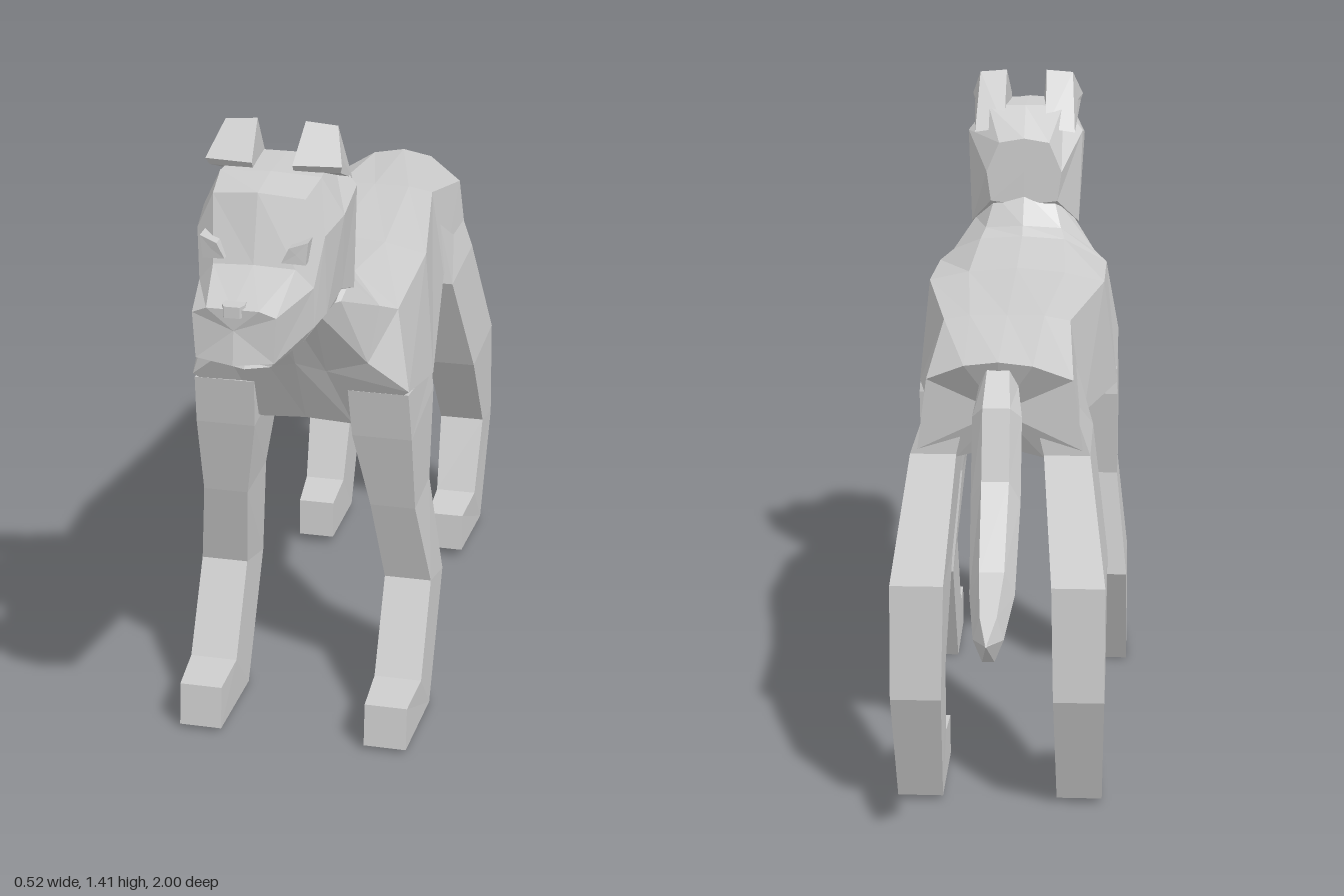
import * as THREE from 'three';

// Closed faceted skin through rings of equal point count; ends are capped.
function loft(rings) {
  const tris = [], n = rings[0].length;
  const centre = r => [0, 1, 2].map(k => r.reduce((s, p) => s + p[k], 0) / n);
  for (let i = 0; i < rings.length - 1; i++) {
    for (let j = 0; j < n; j++) {
      const k = (j + 1) % n, a = rings[i], b = rings[i + 1];
      tris.push([a[j], a[k], b[k]], [a[j], b[k], b[j]]);
    }
  }
  const first = rings[0], last = rings[rings.length - 1];
  const c0 = centre(first), c1 = centre(last);
  for (let j = 0; j < n; j++) {
    const k = (j + 1) % n;
    tris.push([c0, first[k], first[j]], [c1, last[j], last[k]]);
  }
  // Turn the faces outwards if the rings ran the other way round.
  let volume = 0;
  for (const [a, b, c] of tris) {
    volume += new THREE.Vector3(...a).dot(new THREE.Vector3(...b).cross(new THREE.Vector3(...c)));
  }
  if (volume < 0) tris.forEach(t => t.reverse());
  const g = new THREE.BufferGeometry();
  g.setAttribute('position', new THREE.Float32BufferAttribute(tris.flat(2), 3));
  g.computeVertexNormals();
  return g;
}

// Completes a half ring (first and last points on the centre line).
const mirrorRing = half =>
  half.concat(half.slice(1, -1).reverse().map(([x, y, z]) => [-x, y, z]));

// Leg section: inner x, outer x, front [y, z], back [y, z].
const legRing = ([xi, xo, [fy, fz], [by, bz]]) =>
  [[xo, fy, fz], [xi, fy, fz], [xi, by, bz], [xo, by, bz]];

export function createModel() {
  const model = new THREE.Group();
  const grey = new THREE.MeshStandardMaterial({ color: 0xcccccc });
  grey.name = 'coat grey';

  const add = (name, rings) => {
    const mesh = new THREE.Mesh(loft(rings), grey);
    mesh.name = name;
    model.add(mesh);
  };
  const addPair = (name, rings) => {
    add('left' + name, rings);
    add('right' + name, rings.map(r => r.map(([x, y, z]) => [-x, y, z])));
  };

  // Torso from rump to neck
  add('body', [
    [[0, 0.96, -0.6], [0.07, 0.95, -0.59], [0.15, 0.91, -0.54], [0.17, 0.76, -0.53], [0.09, 0.74, -0.51], [0, 0.76, -0.5]],
    [[0, 0.985, -0.26], [0.08, 0.985, -0.26], [0.135, 0.975, -0.26], [0.165, 0.775, -0.26], [0.1, 0.74, -0.26], [0, 0.735, -0.26]],
    [[0, 1.01, 0.15], [0.11, 1.0, 0.15], [0.2, 0.98, 0.15], [0.23, 0.73, 0.21], [0.1, 0.7, 0.21], [0, 0.7, 0.21]],
    [[0, 1.04, 0.39], [0.1, 1.03, 0.41], [0.2, 0.97, 0.45], [0.23, 0.8, 0.48], [0.1, 0.69, 0.42], [0, 0.7, 0.43]],
    [[0, 1.06, 0.42], [0.09, 1.05, 0.45], [0.17, 0.99, 0.49], [0.15, 0.87, 0.51], [0.06, 0.84, 0.5], [0, 0.86, 0.52]],
    [[0, 1.13, 0.49], [0.07, 1.12, 0.5], [0.12, 1.06, 0.54], [0.11, 1.03, 0.58], [0.06, 1.02, 0.61], [0, 1.02, 0.61]],
  ].map(mirrorRing));

  // Skull and upper muzzle
  add('head', [
    [[0, 1.26, 0.48], [0.06, 1.25, 0.48], [0.09, 1.18, 0.48], [0.08, 1.11, 0.48], [0, 1.1, 0.48]],
    [[0, 1.33, 0.56], [0.09, 1.33, 0.56], [0.138, 1.27, 0.56], [0.13, 1.05, 0.55], [0, 1.03, 0.56]],
    [[0, 1.335, 0.7], [0.1, 1.33, 0.7], [0.14, 1.25, 0.68], [0.13, 1.09, 0.66], [0, 1.06, 0.66]],
    [[0, 1.325, 0.8], [0.09, 1.315, 0.79], [0.125, 1.24, 0.78], [0.125, 1.08, 0.77], [0, 1.07, 0.77]],
    [[0, 1.195, 0.84], [0.08, 1.19, 0.835], [0.112, 1.15, 0.82], [0.112, 1.07, 0.82], [0, 1.06, 0.82]],
    [[0, 1.165, 0.995], [0.05, 1.165, 0.995], [0.08, 1.15, 0.985], [0.075, 1.06, 0.985], [0, 1.055, 1.0]],
  ].map(mirrorRing));

  // Lower jaw, leaving a narrow mouth gap
  add('jaw', [
    [[0, 1.09, 0.58], [0.12, 1.09, 0.58], [0.1, 1.03, 0.58], [0, 1.02, 0.58]],
    [[0, 1.06, 0.78], [0.105, 1.06, 0.78], [0.08, 1.02, 0.78], [0, 1.015, 0.78]],
    [[0, 1.035, 0.92], [0.06, 1.04, 0.91], [0.05, 1.02, 0.91], [0, 1.015, 0.92]],
  ].map(mirrorRing));

  // Folded ears: raised back and forward flap
  addPair('Ear', [
    [[0.048, 1.41, 0.61], [0.04, 1.345, 0.69], [0.04, 1.33, 0.68], [0.05, 1.28, 0.52]],
    [[0.112, 1.405, 0.61], [0.135, 1.345, 0.68], [0.13, 1.33, 0.67], [0.12, 1.27, 0.52]],
  ]);

  // Eyes and nose
  const eyeRing = (y, z) => [[0.055, y - 0.015, z], [0.07, y + 0.015, z], [0.105, y + 0.025, z - 0.01], [0.1, y - 0.02, z - 0.01]];
  addPair('Eye', [eyeRing(1.22, 0.79), eyeRing(1.22, 0.845)]);
  add('nose', [[0.02, 0.97], [0.022, 0.985], [0.015, 1.0]].map(([w, z]) =>
    [[-w, 1.15, z], [w, 1.15, z], [w, 1.172, z], [-w, 1.172, z]]));

  // Legs, hip or shoulder down to toes
  addPair('FrontLeg', [
    [0.1, 0.228, [0.79, 0.475], [0.75, 0.22]],
    [0.105, 0.232, [0.68, 0.455], [0.7, 0.215]],
    [0.135, 0.232, [0.5, 0.41], [0.5, 0.25]],
    [0.155, 0.257, [0.3, 0.35], [0.26, 0.21]],
    [0.155, 0.258, [0.11, 0.455], [0, 0.355]],
    [0.158, 0.25, [0.105, 0.57], [0.01, 0.58]],
  ].map(legRing));
  addPair('HindLeg', [
    [0.06, 0.14, [0.92, -0.3], [0.88, -0.53]],
    [0.09, 0.185, [0.75, -0.265], [0.75, -0.53]],
    [0.11, 0.22, [0.5, -0.38], [0.5, -0.64]],
    [0.115, 0.22, [0.29, -0.53], [0.26, -0.655]],
    [0.12, 0.215, [0.12, -0.46], [0.01, -0.555]],
    [0.12, 0.205, [0.11, -0.345], [0.02, -0.34]],
  ].map(legRing));

  // Tail: half width, outer [y, z], inner [y, z]
  add('tail', [
    [0.04, [0.95, -0.58], [0.86, -0.56]],
    [0.05, [0.88, -0.66], [0.83, -0.605]],
    [0.05, [0.74, -0.7], [0.65, -0.665]],
    [0.045, [0.59, -0.82], [0.49, -0.79]],
    [0.03, [0.535, -0.93], [0.445, -0.93]],
    [0.002, [0.502, -0.998], [0.498, -1]],
  ].map(([w, [oy, oz], [iy, iz]]) => {
    const y = (oy + iy) / 2, z = (oz + iz) / 2;
    return [[w * 0.55, oy, oz], [w, y, z], [w * 0.4, iy, iz], [-w * 0.4, iy, iz], [-w, y, z], [-w * 0.55, oy, oz]];
  }));

  return model;
}
